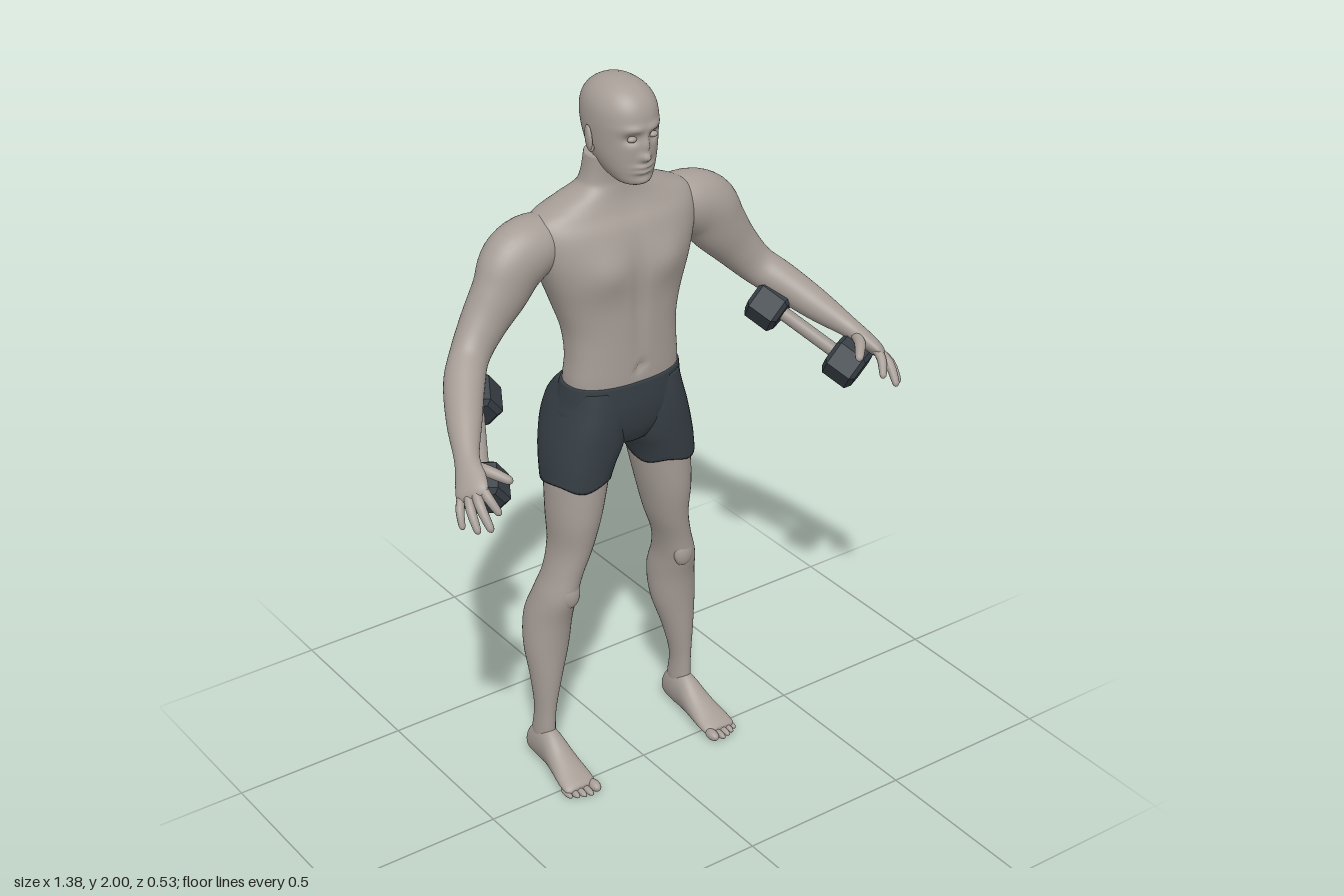
import * as THREE from 'three';

const V = (x, y, z) => new THREE.Vector3(x, y, z);
const bump = (d, w) => Math.exp(-(d * d) / (w * w));
const mat = (name, color) => {
  const m = new THREE.MeshStandardMaterial({ color });
  m.name = name;
  return m;
};

// Catmull-Rom interpolation of whole rows of numbers
function refine(rows, k) {
  const out = [];
  const at = (i) => rows[Math.min(Math.max(i, 0), rows.length - 1)];
  for (let i = 0; i < rows.length - 1; i++) {
    const [a, b, c, d] = [at(i - 1), at(i), at(i + 1), at(i + 2)];
    for (let s = 0; s < k; s++) {
      const t = s / k;
      out.push(b.map((q, j) => q + 0.5 * t * (c[j] - a[j] + t * (2 * a[j] - 5 * q + 4 * c[j] - d[j]
        + t * (3 * (q - c[j]) + d[j] - a[j])))));
    }
  }
  out.push(at(rows.length - 1));
  return out;
}

// Capped skin over a stack of rings, ring(row, angle, index, rows) gives a point
function loft(rows, ring, { k = 5, n = 40 } = {}) {
  const fine = refine(rows, k), pos = [], idx = [], m = fine.length;
  const mids = [V(0, 0, 0), V(0, 0, 0)];
  fine.forEach((row, i) => {
    for (let j = 0; j < n; j++) {
      const p = ring(row, (j / n) * Math.PI * 2, i, fine);
      pos.push(p.x, p.y, p.z);
      if (i === 0) mids[0].addScaledVector(p, 1 / n);
      if (i === m - 1) mids[1].addScaledVector(p, 1 / n);
    }
  });
  mids.forEach((p) => pos.push(p.x, p.y, p.z));
  for (let j = 0; j < n; j++) {
    const j2 = (j + 1) % n, top = (m - 1) * n;
    for (let i = 0; i < m - 1; i++) {
      const a = i * n + j, b = i * n + j2;
      idx.push(a, a + n, b, b, a + n, b + n);
    }
    idx.push(m * n, j, j2, m * n + 1, top + j2, top + j);
  }
  const g = new THREE.BufferGeometry();
  g.setAttribute('position', new THREE.Float32BufferAttribute(pos, 3));
  g.setIndex(idx);
  g.computeVertexNormals();
  return g;
}

// Horizontal rings: [y, x0, x1, zFront, zBack]
const flat = (e = 2, tweak) => ([y, x0, x1, zf, zb], t) => {
  const c = Math.cos(t), s = Math.sin(t);
  const sq = (v) => Math.sign(v) * Math.abs(v) ** (2 / e);
  const p = V((x0 + x1) / 2 + ((x1 - x0) / 2) * sq(c), y, (zf + zb) / 2 + ((zf - zb) / 2) * sq(s));
  if (tweak) tweak(p, s, t);
  return p;
};
const sym = (rows) => rows.map(([y, w, f, b]) => [y, -w, w, f, b]);

// Rings along a path: [x, y, z, radiusUp, radiusAcross]
const OUT = V(0.7, 0.7, 0.1);
const along = (row, t, i, rows) => {
  const p = rows[Math.max(i - 1, 0)], q = rows[Math.min(i + 1, rows.length - 1)];
  const d = V(q[0] - p[0], q[1] - p[1], q[2] - p[2]).normalize();
  const a = OUT.clone().addScaledVector(d, -OUT.dot(d)).normalize();
  const b = a.clone().cross(d);
  return V(row[0], row[1], row[2]).addScaledVector(a, row[3] * Math.cos(t)).addScaledVector(b, row[4] * Math.sin(t));
};

function mirrored(g) {
  const m = g.clone().scale(-1, 1, 1), ix = m.index.array;
  for (let i = 0; i < ix.length; i += 3) [ix[i], ix[i + 1]] = [ix[i + 1], ix[i]];
  return m;
}

export function createModel() {
  const skin = mat('skin', 0xa69d96), cloth = mat('shorts cloth', 0x363e44);
  const iron = mat('dumbbell iron', 0x384046), steel = mat('handle steel', 0x9c948e);
  const model = new THREE.Group();
  const add = (name, g, m) => {
    const mesh = new THREE.Mesh(g, m);
    mesh.name = name;
    model.add(mesh);
  };
  const pair = (name, g, m, faceted) => {
    [['left', g], ['right', mirrored(g)]].forEach(([side, h]) => {
      if (faceted) { h = h.toNonIndexed(); h.computeVertexNormals(); }
      add(`${side} ${name}`, h, m);
    });
  };
  const ball = (x, y, z, rx, ry, rz) => new THREE.SphereGeometry(1, 16, 12).scale(rx, ry, rz).translate(x, y, z);

  // Torso and neck, with chest, spine groove and shoulder blades
  add('torso', loft(sym([
    [1.15, 0.165, -0.014, -0.2], [1.2, 0.165, -0.012, -0.198], [1.26, 0.16, -0.012, -0.195],
    [1.33, 0.163, -0.012, -0.212], [1.4, 0.183, -0.012, -0.235], [1.48, 0.212, -0.01, -0.25],
    [1.55, 0.235, -0.018, -0.256], [1.61, 0.245, -0.035, -0.255], [1.65, 0.23, -0.058, -0.24],
    [1.68, 0.17, -0.07, -0.222], [1.71, 0.105, -0.076, -0.203], [1.74, 0.088, -0.078, -0.192],
    [1.8, 0.08, -0.07, -0.185],
  ]), flat(2.35, (p, s) => {
    const x = Math.abs(p.x);
    if (s > 0) {
      p.z += 0.014 * bump(x - 0.09, 0.06) * bump(p.y - 1.51, 0.055);
      p.z -= 0.008 * bump(x, 0.016) * bump(p.y - 1.44, 0.16);
      p.z -= 0.012 * bump(x, 0.009) * bump(p.y - 1.225, 0.012);
    } else {
      p.z += 0.024 * bump(x, 0.032) * bump(p.y - 1.42, 0.22);
      p.z -= 0.014 * bump(x - 0.1, 0.05) * bump(p.y - 1.57, 0.07);
    }
  }), { n: 80 }), skin);

  // Head with brow, eye sockets, nose, lips and chin
  add('head', loft(sym([
    [1.738, 0.022, -0.015, -0.06], [1.748, 0.045, 0, -0.1], [1.775, 0.064, 0.004, -0.15],
    [1.81, 0.077, 0.006, -0.185], [1.85, 0.084, 0.008, -0.208], [1.9, 0.087, 0.01, -0.22],
    [1.94, 0.082, 0.002, -0.215], [1.97, 0.066, -0.02, -0.195], [1.99, 0.04, -0.055, -0.163],
    [1.999, 0.012, -0.095, -0.122],
  ]), flat(2.15, (p, s) => {
    if (s <= 0) return;
    const x = Math.abs(p.x), y = p.y;
    p.z -= 0.014 * bump(x - 0.033, 0.018) * bump(y - 1.868, 0.013);
    p.z += 0.007 * bump(x - 0.03, 0.03) * bump(y - 1.893, 0.01);
    p.z += 0.013 * bump(x, 0.01) * bump(y - 1.848, 0.025) + 0.019 * bump(x, 0.014) * bump(y - 1.818, 0.012);
    p.z += 0.01 * bump(x, 0.026) * (bump(y - 1.793, 0.006) + bump(y - 1.779, 0.006));
    p.z += 0.005 * bump(x, 0.022) * bump(y - 1.752, 0.01);
  }), { k: 8, n: 96 }), skin);
  pair('eye', ball(0.032, 1.868, -0.004, 0.013, 0.008, 0.01), skin);
  pair('ear', ball(0, 0, 0, 0.008, 0.034, 0.02).rotateY(0.3).rotateX(-0.15).translate(0.09, 1.852, -0.108), skin);
  pair('ear lobe', ball(0.088, 1.828, -0.1, 0.007, 0.012, 0.01), skin);

  // Shorts: waist piece and two legs
  add('shorts waist', loft(sym([
    [1.0, 0.08, -0.035, -0.2], [1.04, 0.15, -0.018, -0.225], [1.09, 0.186, -0.008, -0.238],
    [1.13, 0.179, -0.006, -0.228], [1.185, 0.17, -0.009, -0.206],
  ]), flat(2.35), { n: 60 }), cloth);
  pair('shorts leg', loft([
    [0.902, 0.05, 0.224, -0.018, -0.222], [0.95, 0.03, 0.221, -0.014, -0.238], [1.0, 0.004, 0.214, -0.01, -0.254],
    [1.06, -0.004, 0.2, -0.008, -0.263], [1.12, -0.004, 0.182, -0.012, -0.252], [1.17, 0.01, 0.166, -0.02, -0.21],
  ], flat(2.2, (p, s, t) => { p.y += 0.007 * Math.sin(4 * t) * bump(p.y - 0.902, 0.015); })), cloth);

  // Legs
  pair('leg', loft([
    [0.05, 0.208, 0.253, -0.12, -0.19], [0.1, 0.205, 0.259, -0.11, -0.193], [0.18, 0.203, 0.258, -0.107, -0.182],
    [0.28, 0.18, 0.266, -0.1, -0.198], [0.38, 0.151, 0.275, -0.095, -0.226], [0.47, 0.143, 0.268, -0.084, -0.235],
    [0.55, 0.143, 0.25, -0.062, -0.208], [0.62, 0.13, 0.228, -0.055, -0.19], [0.7, 0.102, 0.213, -0.042, -0.195],
    [0.8, 0.075, 0.217, -0.026, -0.207], [0.93, 0.045, 0.216, -0.022, -0.222],
  ], flat(2)), skin);
  pair('kneecap', ball(0.188, 0.565, -0.076, 0.03, 0.042, 0.02), skin);

  // Feet: rings from heel to ball [z, x0, x1, y0, y1], then toes
  pair('foot', loft([
    [-0.213, 0.222, 0.244, 0.025, 0.05], [-0.203, 0.21, 0.257, 0.006, 0.085], [-0.165, 0.202, 0.262, 0, 0.12],
    [-0.11, 0.198, 0.267, 0, 0.118], [-0.05, 0.192, 0.277, 0, 0.08], [0, 0.188, 0.286, 0, 0.052],
    [0.035, 0.19, 0.286, 0.002, 0.034], [0.045, 0.2, 0.275, 0.008, 0.024],
  ], ([z, x0, x1, y0, y1], t) => V((x0 + x1) / 2 + ((x1 - x0) / 2) * Math.cos(t),
    (y0 + y1) / 2 - ((y1 - y0) / 2) * Math.sin(t), z)), skin);
  [[0.202, 0.05, 0.015], [0.226, 0.053, 0.01], [0.245, 0.048, 0.0098], [0.263, 0.041, 0.0095], [0.28, 0.03, 0.009]]
    .forEach(([x, z, r], i) => pair(`toe ${i + 1}`, ball(x, r, z, r, r, 0.026), skin));

  // Arms down to the palm
  pair('arm', loft([
    [0.15, 1.6, -0.16, 0.05, 0.06], [0.23, 1.585, -0.155, 0.08, 0.08], [0.295, 1.553, -0.148, 0.091, 0.078],
    [0.34, 1.49, -0.14, 0.08, 0.066], [0.395, 1.42, -0.135, 0.064, 0.057], [0.45, 1.355, -0.115, 0.053, 0.05],
    [0.5, 1.31, -0.065, 0.05, 0.053], [0.555, 1.255, 0.02, 0.042, 0.045], [0.6, 1.21, 0.1, 0.028, 0.033],
    [0.62, 1.185, 0.145, 0.024, 0.041], [0.637, 1.163, 0.18, 0.018, 0.046], [0.643, 1.152, 0.194, 0.008, 0.034],
  ], along), skin);

  // Fingers and thumb: base, tip, radius
  [['thumb', [0.6, 1.2, 0.13], [0.542, 1.175, 0.215], 0.015],
    ['index finger', [0.618, 1.18, 0.19], [0.6, 1.118, 0.248], 0.0125],
    ['middle finger', [0.632, 1.168, 0.186], [0.635, 1.09, 0.264], 0.0128],
    ['ring finger', [0.645, 1.156, 0.174], [0.66, 1.083, 0.243], 0.012],
    ['little finger', [0.655, 1.146, 0.158], [0.68, 1.082, 0.202], 0.0105],
  ].forEach(([name, a, b, r]) => {
    const at = (t, s) => {
      const lift = 0.012 * Math.sin(Math.PI * t);
      return [...a.map((v, i) => v + (b[i] - v) * t + lift * [0.6, 0.7, 0.2][i]), r * s, r * s];
    };
    pair(name, loft([at(0, 1), at(0.45, 1.02), at(0.85, 0.82), at(0.96, 0.6), at(1, 0.15)], along, { k: 3, n: 12 }), skin);
  });

  // Dumbbells: bevelled six-sided heads on a round handle
  const A = V(0.465, 1.25, -0.07), B = V(0.575, 1.13, 0.13);
  const turn = new THREE.Quaternion().setFromUnitVectors(V(0, 1, 0), B.clone().sub(A).normalize());
  const profile = [[0, -0.047], [0.05, -0.047], [0.066, -0.036], [0.066, 0.036], [0.05, 0.047], [0, 0.047]]
    .map(([r, h]) => new THREE.Vector2(r, h));
  [['upper', A], ['lower', B]].forEach(([n, p]) => pair(`dumbbell ${n} head`,
    new THREE.LatheGeometry(profile, 6).applyQuaternion(turn).translate(p.x, p.y, p.z), iron, true));
  const mid = A.clone().lerp(B, 0.5);
  pair('dumbbell handle', new THREE.CylinderGeometry(0.019, 0.019, A.distanceTo(B), 20)
    .applyQuaternion(turn).translate(mid.x, mid.y, mid.z), steel);

  return model;
}
